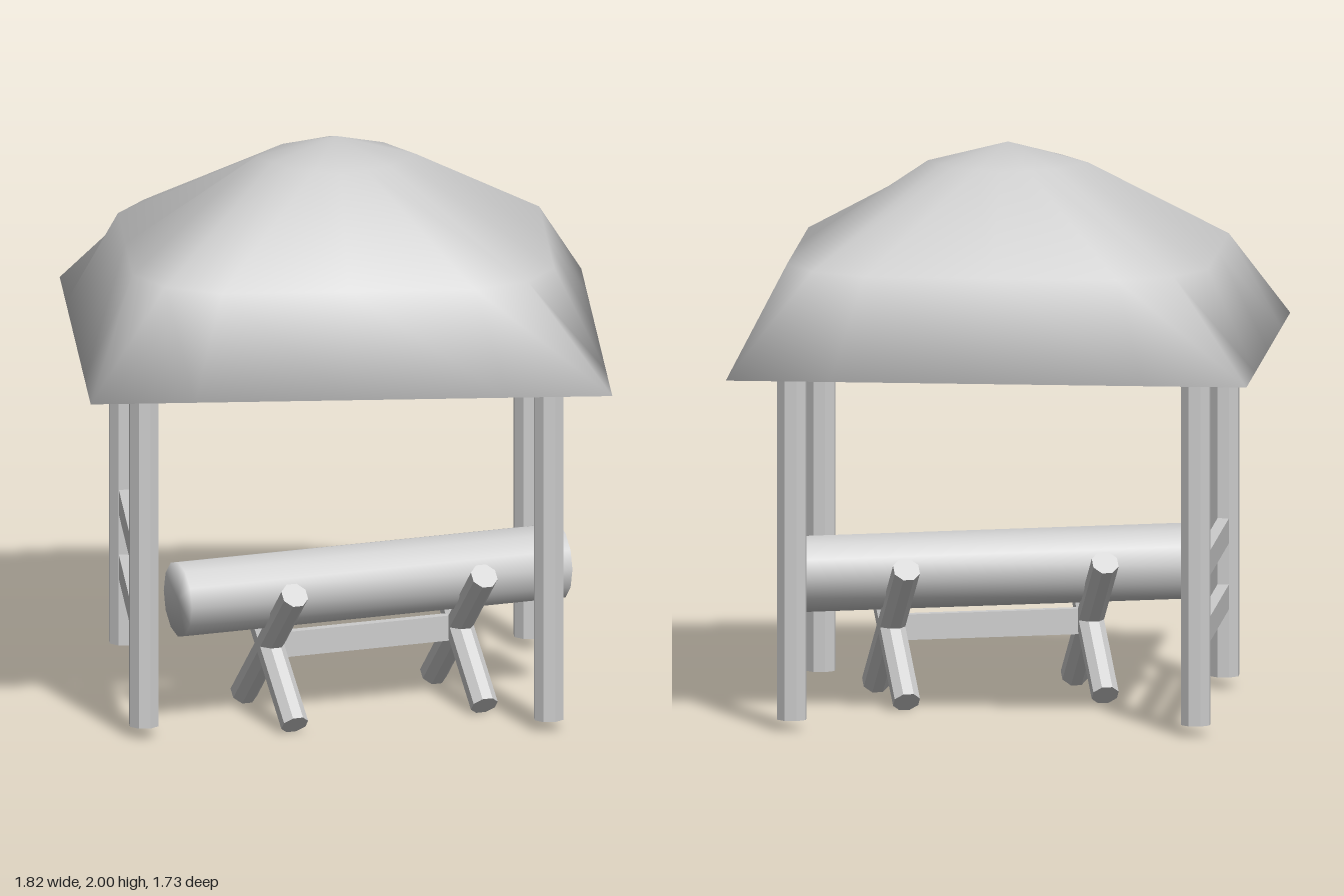
import * as THREE from 'three';
import { mergeVertices } from 'three/addons/utils/BufferGeometryUtils.js';

// Weld vertices so that normals blend over every edge
function smooth(geometry) {
  geometry.deleteAttribute('normal');
  geometry.deleteAttribute('uv');
  const welded = mergeVertices(geometry, 1e-4);
  welded.computeVertexNormals();
  return welded;
}

// Sixteen-point ring: side middle, quarter point (a, b), corner (c, c), mirrored quarter point
function ring([hx, hz, y, a, b, c]) {
  const points = [];
  for (let i = 0; i < 4; i++) {
    const cos = [1, 0, -1, 0][i], sin = [0, 1, 0, -1][i];
    for (const [u, v] of [[1, 0], [a, b], [c, c], [b, a]]) {
      points.push([(u * cos - v * sin) * hx, y, (u * sin + v * cos) * hz]);
    }
  }
  return points;
}

// Closed dome: rings from the apex to the rim, then a flat underside
function roofGeometry() {
  const rings = [
    [0, 0, 2, 1, 0.5, 1],
    [0.28, 0.265, 1.93, 0.81, 0.32, 0.63],
    [0.735, 0.695, 1.623, 1, 0.6, 0.86],
    [0.91, 0.865, 1.277, 1, 0.6, 1],
    [0.64, 0.6, 1.277, 1, 0.6, 1],
    [0, 0, 1.277, 1, 0.5, 1],
  ].map(ring);
  const index = [];
  for (let i = 0; i < rings.length - 1; i++) {
    for (let j = 0; j < 16; j++) {
      const a = i * 16 + j, b = i * 16 + (j + 1) % 16;
      index.push(a, b, a + 16, b, b + 16, a + 16);
    }
  }
  const g = new THREE.BufferGeometry();
  g.setAttribute('position', new THREE.Float32BufferAttribute(rings.flat(2), 3));
  g.setIndex(index);
  return smooth(g);
}

// Eight-sided pole with flat faces
function poleGeometry(apothem, length) {
  const radius = apothem / Math.cos(Math.PI / 8);
  const g = new THREE.CylinderGeometry(radius, radius, length, 8).rotateY(Math.PI / 8).toNonIndexed();
  g.computeVertexNormals();
  return g;
}

export function createModel() {
  const model = new THREE.Group();
  model.name = 'logShelter';
  const grey = new THREE.MeshStandardMaterial({ color: 0xcccccc });
  grey.name = 'plain grey';

  function add(parent, name, geometry, x = 0, y = 0, z = 0) {
    const mesh = new THREE.Mesh(geometry, grey);
    mesh.name = name;
    mesh.position.set(x, y, z);
    parent.add(mesh);
    return mesh;
  }
  const box = (w, h, d) => new THREE.BoxGeometry(w, h, d);

  add(model, 'roof', roofGeometry());

  // Corner posts and the thin beam frame under the roof
  const frame = new THREE.Group();
  frame.name = 'frame';
  frame.position.z = 0.007;
  model.add(frame);
  const px = 0.706, pz = 0.565;
  for (const s of [-1, 1]) {
    for (const t of [-1, 1]) {
      add(frame, 'cornerPost', poleGeometry(0.05, 1.24), s * px, 0.661, t * pz);
    }
    add(frame, 'sideBeam', box(0.05, 0.035, 2 * pz), s * px, 1.27, 0);
    add(frame, 'crossBeam', box(2 * px, 0.035, 0.05), 0, 1.27, s * pz);
  }

  // Two rails closing one side
  for (const y of [0.325, 0.558]) {
    add(frame, 'sideRail', box(0.04, 0.088, 2 * pz), -px, y, 0);
  }

  // Sawhorse with its log, turned at an angle to the shelter
  const sawhorse = new THREE.Group();
  sawhorse.name = 'sawhorse';
  sawhorse.position.set(0.083, 0, 0.241);
  sawhorse.rotation.y = 0.315;
  model.add(sawhorse);

  for (const x of [-0.355, 0.355]) {
    for (const tilt of [-1, 1]) {
      const leg = add(sawhorse, 'crossedLeg', poleGeometry(0.045, 0.67), x, 0.268, 0);
      leg.rotation.x = tilt * 0.8;
    }
  }
  add(sawhorse, 'connectingPlank', box(0.71, 0.09, 0.035), 0, 0.263, 0);

  const log = new THREE.CylinderGeometry(0.134, 0.134, 1.425, 12).rotateZ(Math.PI / 2);
  add(sawhorse, 'log', smooth(log), 0.015, 0.461, 0);

  return model;
}
